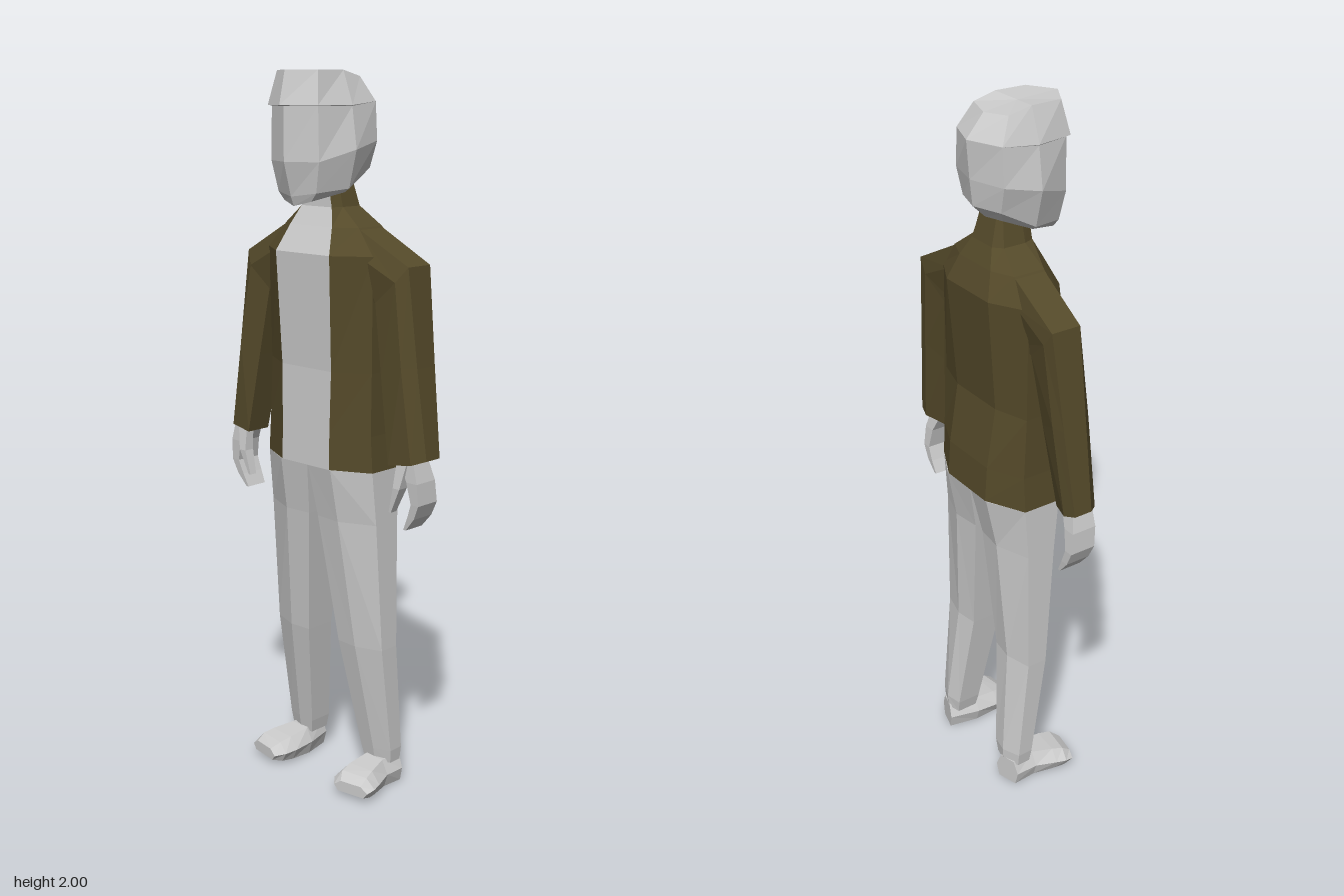
import * as THREE from 'three';

const grey = new THREE.MeshStandardMaterial({ color: 0xcccccc, flatShading: true, side: THREE.DoubleSide });
const olive = new THREE.MeshStandardMaterial({ color: 0x554a2a, flatShading: true, side: THREE.DoubleSide });

// Skin a stack of rings ([x, y, z] corners); keep only the wanted columns, wound outwards
function loft(name, rings, material, { caps = true, keep = () => true } = {}) {
  const n = rings[0].length;
  const tris = [];
  let volume = 0;
  const add = (a, b, c, kept) => {
    const [A, B, C] = [a, b, c].map((p) => new THREE.Vector3(...p));
    volume += A.dot(B.cross(C));
    if (kept) tris.push([a, b, c]);
  };
  for (let i = 0; i < rings.length - 1; i++) {
    for (let j = 0; j < n; j++) {
      const k = (j + 1) % n;
      const [a, b, c, d] = [rings[i][j], rings[i][k], rings[i + 1][k], rings[i + 1][j]];
      add(a, b, c, keep(j));
      add(a, c, d, keep(j));
    }
  }
  const first = rings[0], last = rings[rings.length - 1];
  const middle = (ring) => [0, 1, 2].map((k) => ring.reduce((s, p) => s + p[k], 0) / n);
  for (let j = 0; j < n; j++) {
    const k = (j + 1) % n;
    add(middle(first), first[k], first[j], caps);
    add(middle(last), last[j], last[k], caps);
  }
  const points = tris.flatMap(([a, b, c]) => (volume > 0 ? [a, b, c] : [a, c, b])).flat();
  const geometry = new THREE.BufferGeometry();
  geometry.setAttribute('position', new THREE.Float32BufferAttribute(points, 3));
  geometry.computeVertexNormals();
  const mesh = new THREE.Mesh(geometry, material);
  mesh.name = name;
  return mesh;
}

// Complete a half ring running from front centre to back centre
const mirrorRing = (half) => [
  ...half,
  ...half.slice(1, -1).reverse().map(([x, y, z]) => [-x, y, z]),
];
// Mirror whole rings to the other side
const sided = (rings, s) => rings.map((r) => r.map(([x, y, z]) => [x * s, y, z]));
// Four-cornered ring at one height
const box = (y, x0, x1, z0, z1) => [[x0, y, z0], [x1, y, z0], [x1, y, z1], [x0, y, z1]];

// Torso: y, strip half width, front z, side half width, side z front/back, back half width, back z
const torso = [
  [0.95, 0.09, 0.065, 0.2, 0.01, -0.1, 0.09, -0.155],
  [1.05, 0.09, 0.063, 0.193, 0.01, -0.1, 0.09, -0.148],
  [1.22, 0.093, 0.06, 0.19, 0.005, -0.09, 0.09, -0.12],
  [1.53, 0.1, 0.075, 0.195, 0.01, -0.09, 0.095, -0.143],
  [1.6, 0.078, 0.042, 0.135, 0.0, -0.09, 0.07, -0.118],
  [1.65, 0.056, 0.02, 0.068, -0.01, -0.075, 0.045, -0.096],
  [1.72, 0.04, 0.018, 0.05, -0.01, -0.065, 0.035, -0.075],
].map(([y, xf, zf, xs, z1, z2, xb, zb]) =>
  mirrorRing([[0, y, zf], [xf, y, zf], [xs, y, z1], [xs, y, z2], [xb, y, zb], [0, y, zb]]));

// Head with a stepped fringe
const head = [
  [[0, 1.655, 0.105], [0.05, 1.668, 0.09], [0.085, 1.69, 0], [0.065, 1.72, -0.075], [0, 1.715, -0.085]],
  [[0, 1.68, 0.115], [0.07, 1.69, 0.092], [0.1, 1.7, 0], [0.085, 1.75, -0.095], [0, 1.75, -0.122]],
  [[0, 1.77, 0.14], [0.088, 1.77, 0.1], [0.126, 1.8, 0], [0.106, 1.82, -0.1], [0, 1.82, -0.13]],
  [[0, 1.91, 0.14], [0.085, 1.91, 0.1], [0.11, 1.91, 0], [0.1, 1.92, -0.1], [0, 1.92, -0.138]],
  [[0, 1.912, 0.155], [0.092, 1.912, 0.108], [0.111, 1.912, 0], [0.1, 1.921, -0.1], [0, 1.921, -0.138]],
  [[0, 2, 0.135], [0.075, 2, 0.09], [0.078, 2, 0], [0.075, 1.985, -0.065], [0, 1.98, -0.087]],
].map(mirrorRing);

// Sleeve from the shoulder slope to the cuff
const sleeve = [
  [[0.13, 1.6, 0], [0.15, 1.53, 0.02], [0.15, 1.42, 0], [0.15, 1.42, -0.08], [0.15, 1.53, -0.1], [0.13, 1.6, -0.09]],
  [[0.3, 1.51, -0.01], [0.272, 1.47, 0.01], [0.2, 1.41, 0.005], [0.2, 1.41, -0.085], [0.272, 1.47, -0.1], [0.3, 1.51, -0.095]],
  [[0.335, 1.25, -0.01], [0.305, 1.25, 0.02], [0.232, 1.22, 0.015], [0.232, 1.22, -0.07], [0.3, 1.25, -0.09], [0.335, 1.25, -0.08]],
  [[0.37, 1.01, -0.012], [0.343, 1, 0.02], [0.27, 0.99, 0.027], [0.27, 0.99, -0.05], [0.335, 1, -0.075], [0.37, 1.01, -0.065]],
];

// Hand curling inwards, and its thumb
const hand = [
  box(1.01, 0.292, 0.342, -0.05, 0.01),
  box(0.95, 0.322, 0.358, -0.062, 0.012),
  box(0.89, 0.335, 0.361, -0.068, 0.008),
  box(0.85, 0.32, 0.343, -0.068, 0.004),
  box(0.813, 0.303, 0.312, -0.066, 0),
];
const thumb = [
  box(1.0, 0.29, 0.325, -0.01, 0.015),
  box(0.93, 0.287, 0.31, -0.005, 0.026),
  box(0.86, 0.27, 0.278, 0, 0.022),
];

// Leg: y, inner x, mid x, outer x, front z, outer front z, outer back z, back z
const leg = [
  [0.95, 0.001, 0.095, 0.2, 0.065, 0.01, -0.1, -0.155],
  [0.8, 0.017, 0.1, 0.202, 0.04, -0.005, -0.09, -0.126],
  [0.43, 0.06, 0.127, 0.205, -0.003, -0.03, -0.09, -0.11],
  [0.11, 0.1, 0.15, 0.202, -0.058, -0.075, -0.12, -0.142],
  [0.07, 0.108, 0.15, 0.197, -0.065, -0.08, -0.12, -0.14],
].map(([y, xi, xm, xo, zf, z1, z2, zb]) => [
  [xi, y, zf - 0.15 * (zf - z1)], [xm, y, zf], [xo, y, z1], [xo, y, z2], [xm, y, zb], [xi, y, zb + 0.01],
]);

// Shoe from heel to toe: z inner/outer, inner x, outer x, bottom y, top y
const shoe = [
  [-0.147, -0.125, 0.125, 0.203, 0, 0.08],
  [-0.06, -0.06, 0.1, 0.205, 0.003, 0.082],
  [0.01, 0, 0.095, 0.228, 0.008, 0.075],
  [0.05, 0.03, 0.1, 0.237, 0.012, 0.068],
  [0.075, 0.056, 0.122, 0.233, 0.018, 0.05],
].map(([zi, zo, xi, xo, y0, y1]) => {
  const ym = (y0 + y1) / 2, w = xo - xi;
  const at = (t, y) => [xi + w * t, y, zi + (zo - zi) * t];
  return [at(0, ym), at(0.12, y0), at(0.88, y0), at(1, ym), at(0.8, y1), at(0.2, y1)];
});

export function createModel() {
  const model = new THREE.Group();
  model.name = 'standingFigure';

  // The two front centre columns show the shirt, the rest is the jacket
  const isShirt = (j) => j === 0 || j === 9;
  model.add(
    loft('jacketBody', torso, olive, { caps: false, keep: (j) => !isShirt(j) }),
    loft('shirtFront', torso, grey, { caps: false, keep: isShirt }),
    loft('head', head, grey),
  );

  for (const [side, s] of [['left', 1], ['right', -1]]) {
    const arm = new THREE.Group();
    arm.name = side + 'Arm';
    arm.add(
      loft(side + 'Sleeve', sided(sleeve, s), olive),
      loft(side + 'Hand', sided(hand, s), grey),
      loft(side + 'Thumb', sided(thumb, s), grey),
    );
    const limb = new THREE.Group();
    limb.name = side + 'Leg';
    limb.add(
      loft(side + 'Trouser', sided(leg, s), grey),
      loft(side + 'Shoe', sided(shoe, s), grey),
    );
    model.add(arm, limb);
  }
  return model;
}
